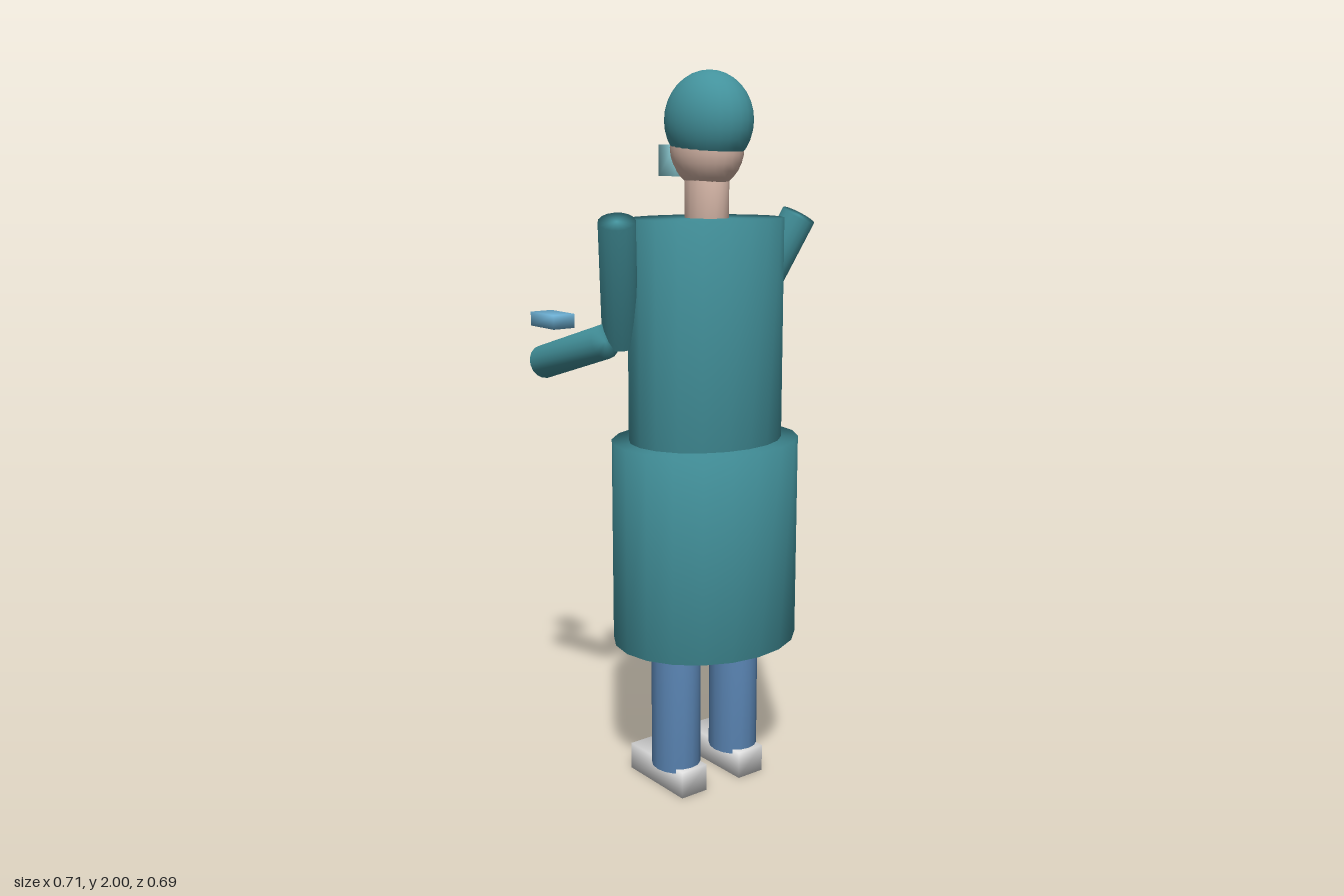
import * as THREE from 'three';
import { mergeVertices } from 'three/addons/utils/BufferGeometryUtils.js';

const flat = (name, color) => {
  const m = new THREE.MeshStandardMaterial({ color });
  m.name = name;
  return m;
};

// Weld shared corners so that shading runs smoothly round every edge
function weld(geometry) {
  geometry.deleteAttribute('uv');
  geometry.deleteAttribute('normal');
  const g = mergeVertices(geometry, 1e-4);
  g.computeVertexNormals();
  return g;
}

export function createModel() {
  const model = new THREE.Group();
  const teal = flat('tealCloth', 0x43929c);
  const skin = flat('skin', 0xd9b9aa);
  const denim = flat('blueTrousers', 0x5b86b5);
  const white = flat('whiteShoe', 0xe6e6e6);
  const glove = flat('blueGlove', 0x6fb2d6);
  const maskBlue = flat('paleMask', 0x8fd0d8);

  const add = (name, geometry, material) => {
    const mesh = new THREE.Mesh(weld(geometry), material);
    mesh.name = name;
    model.add(mesh);
    return mesh;
  };
  // Upright elliptical cylinder between two heights
  const column = (name, mat, x, z, rx, rz, y0, y1, sides = 20) =>
    add(name, new THREE.CylinderGeometry(1, 1, 1, sides)
      .scale(rx, y1 - y0, rz).translate(x, (y0 + y1) / 2, z), mat);
  const ellipsoid = (name, mat, y, z, rx, ry, rz) =>
    add(name, new THREE.SphereGeometry(1, 24, 16).scale(rx, ry, rz).translate(0, y, z), mat);
  // Box from its lower and upper corners
  const block = (name, mat, a, b) =>
    add(name, new THREE.BoxGeometry(b[0] - a[0], b[1] - a[1], b[2] - a[2])
      .translate((a[0] + b[0]) / 2, (a[1] + b[1]) / 2, (a[2] + b[2]) / 2), mat);
  // Round limb from one point to another
  const limb = (name, mat, from, to, r) => {
    const a = new THREE.Vector3(...from), b = new THREE.Vector3(...to);
    const dir = b.clone().sub(a);
    const mesh = add(name, new THREE.CylinderGeometry(r, r, dir.length(), 16), mat);
    mesh.position.copy(a).add(b).multiplyScalar(0.5);
    mesh.quaternion.setFromUnitVectors(new THREE.Vector3(0, 1, 0), dir.normalize());
  };

  // Gown
  column('gownTop', teal, 0, 0.103, 0.225, 0.19, 1.0, 1.615);
  column('gownSkirt', teal, 0, 0.103, 0.272, 0.238, 0.435, 1.01);

  // Head, surgical cap and mask
  column('neck', skin, 0, 0.105, 0.056, 0.066, 1.58, 1.76, 16);
  ellipsoid('head', skin, 1.8, 0.105, 0.09, 0.11, 0.113);
  ellipsoid('cap', teal, 1.87, 0.112, 0.108, 0.13, 0.135);
  block('mask', maskBlue, [-0.062, 1.724, -0.027], [0.062, 1.808, 0.047]);

  for (const s of [1, -1]) {
    const side = s > 0 ? 'left' : 'right';
    const dz = s > 0 ? 0 : 0.012;
    // Legs and shoes
    column(side + 'Leg', denim, s * 0.105, 0.105, 0.067, 0.075, 0.065, 0.6, 16);
    block(side + 'Shoe', white,
      [s * 0.104 - 0.044, 0, -0.057], [s * 0.104 + 0.044, 0.078, 0.19]);
    // Bent arms and gloved hands
    limb(side + 'UpperArm', teal,
      [s * 0.307, 1.615, 0.135 - dz], [s * 0.213, 1.285, -0.007 + dz / 2], 0.049);
    limb(side + 'Forearm', teal,
      [s * 0.275, 1.293, 0.018], [s * 0.296, 1.206, -0.262], 0.047);
    block(side + 'Hand', glove,
      [s * 0.25 - 0.035, 1.3, -0.345], [s * 0.25 + 0.035, 1.34, -0.223]);
  }
  return model;
}
